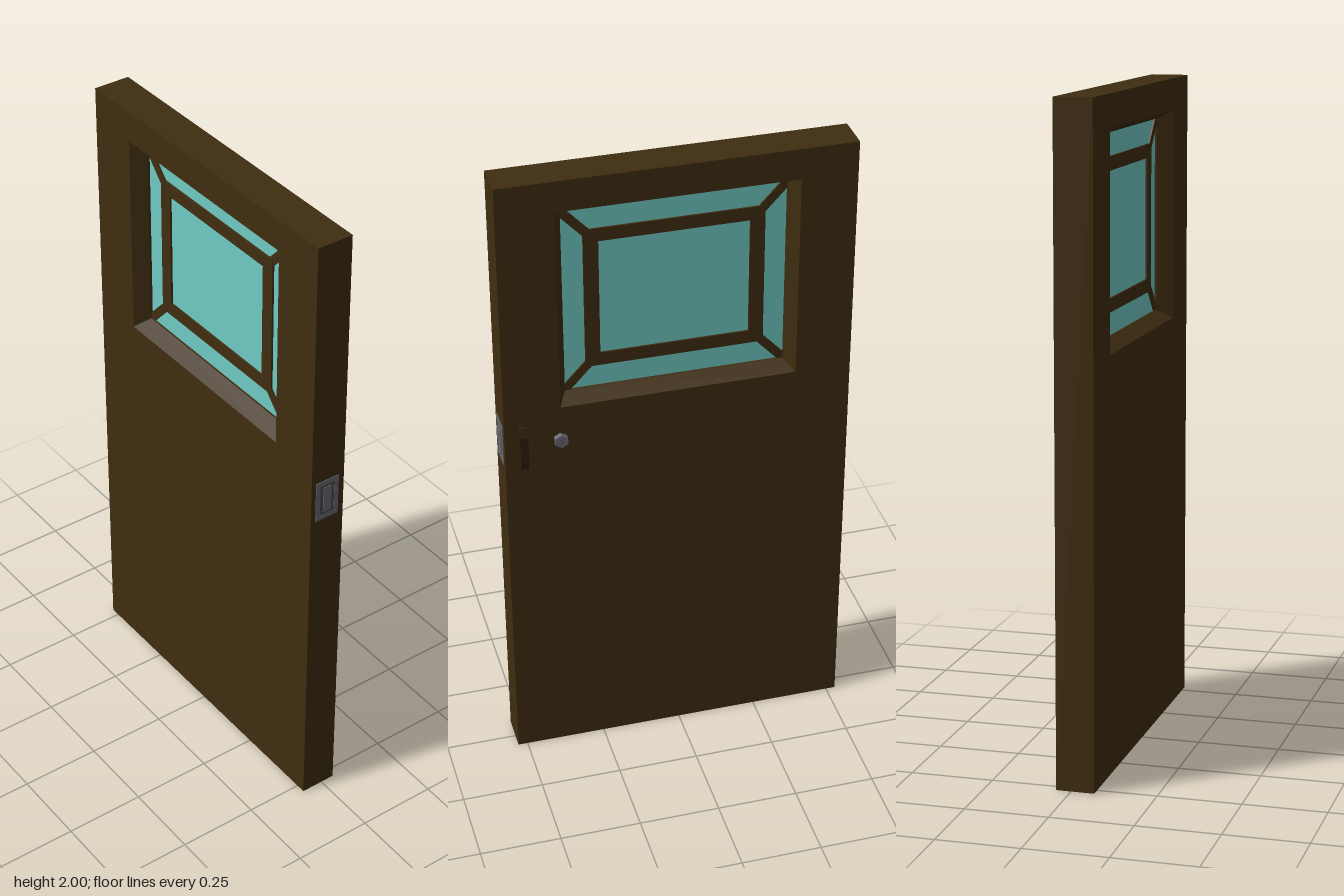
import * as THREE from 'three';

const mat = (color) => new THREE.MeshStandardMaterial({ color });
const wood = mat(0x3f2d10);
const darkWood = mat(0x2e200b);
const glass = mat(0x70cbc5);
const steel = mat(0x686b70);
const darkSteel = mat(0x4a4c50);

const BACK = -0.07, FACE = 0.045, HALF_Z = 0.53, HEIGHT = 2;
const MID = (BACK + FACE) / 2;
const WIN_Y = 1.58;                       // window centre height
const OPEN = [0.36, 0.3235];              // half sizes (z, y) of the opening at the door faces
const INNER = [0.334, 0.2975];            // half sizes at the glass
const BAR = 0.02;                         // thickness of the glazing bars

function add(parent, name, geometry, material, x = 0, y = 0, z = 0) {
  const mesh = new THREE.Mesh(geometry, material);
  mesh.name = name;
  mesh.position.set(x, y, z);
  parent.add(mesh);
  return mesh;
}

const box = (x, y, z) => new THREE.BoxGeometry(x, y, z);

function rect(Type, hw, hh, cy = 0) {
  return new Type().setFromPoints([[-hw, cy - hh], [hw, cy - hh], [hw, cy + hh], [-hw, cy + hh]]
    .map(([u, v]) => new THREE.Vector2(u, v))).closePath();
}

// Flat plate with a rectangular hole; its thickness runs along x, starting at x = 0
function framePlate(outer, inner, depth, outerY = 0) {
  const shape = rect(THREE.Shape, outer[0], outer[1], outerY);
  shape.holes.push(rect(THREE.Path, inner[0], inner[1]));
  return new THREE.ExtrudeGeometry(shape, { depth, bevelEnabled: false }).rotateY(Math.PI / 2);
}

// Inward-facing mitred reveal through rectangular sections [x, halfZ, halfY]
function revealGeometry(sections) {
  const corners = [[-1, -1], [1, -1], [1, 1], [-1, 1]];
  const point = (s, k) => [s[0], corners[k % 4][1] * s[2], corners[k % 4][0] * s[1]];
  const pos = [];
  for (let i = 0; i < sections.length - 1; i++) {
    for (let k = 0; k < 4; k++) {
      const a = point(sections[i], k), b = point(sections[i], k + 1);
      const c = point(sections[i + 1], k + 1), d = point(sections[i + 1], k);
      pos.push(...a, ...d, ...c, ...a, ...c, ...b);
    }
  }
  const geometry = new THREE.BufferGeometry();
  geometry.setAttribute('position', new THREE.Float32BufferAttribute(pos, 3));
  geometry.computeVertexNormals();
  return geometry;
}

function createWindow() {
  const group = new THREE.Group();
  group.name = 'window';
  group.position.set(MID, WIN_Y, 0);
  const half = (FACE - BACK) / 2;

  // Sloping moulding on both sides of the glass
  add(group, 'windowMoulding', revealGeometry([
    [half, ...OPEN], [BAR / 2, ...INNER], [-BAR / 2, ...INNER], [-half, ...OPEN],
  ]), wood);
  add(group, 'glassPane', box(0.008, INNER[1] * 2, INNER[0] * 2), glass);

  // Rectangular glazing bar and its four corner braces
  const barOuter = [0.27, 0.2275], barInner = [0.225, 0.186];
  add(group, 'glazingBar', framePlate(barOuter, barInner, BAR), wood, -BAR / 2);
  const dz = INNER[0] - barOuter[0] + 0.02, dy = INNER[1] - barOuter[1] + 0.02;
  for (const sz of [-1, 1]) {
    for (const sy of [-1, 1]) {
      const brace = add(group, 'cornerBrace', box(BAR * 0.95, 0.027, Math.hypot(dz, dy)), wood,
        0, sy * (INNER[1] + barOuter[1]) / 2, sz * (INNER[0] + barOuter[0]) / 2);
      brace.rotation.x = -sz * sy * Math.atan2(dy, dz);
    }
  }
  return group;
}

// Bent pull bar with chamfered corners
function createHandle() {
  const points = [
    [0, 0.075], [0.011, 0.072], [0.023, 0.045], [0.023, -0.045], [0.011, -0.072], [0, -0.075],
    [0, -0.061], [0.007, -0.059], [0.015, -0.04], [0.015, 0.04], [0.007, 0.059], [0, 0.061],
  ].map(([x, y]) => new THREE.Vector2(x, y));
  const geometry = new THREE.ExtrudeGeometry(new THREE.Shape(points), { depth: 0.025, bevelEnabled: false });
  const group = new THREE.Group();
  group.name = 'handle';
  group.position.set(FACE, 1.138, 0.463);
  add(group, 'pullBar', geometry, darkWood);
  for (const s of [-1, 1]) add(group, 'handleFoot', box(0.005, 0.026, 0.025), darkWood, 0.0025, s * 0.063, 0.0125);
  return group;
}

// Hexagonal key cylinder
function createKeyLock() {
  const group = new THREE.Group();
  group.name = 'keyLock';
  group.position.set(FACE, 1.147, 0.362);
  const barrel = new THREE.CylinderGeometry(0.022, 0.022, 0.017, 6).toNonIndexed();
  barrel.computeVertexNormals();
  barrel.rotateY(Math.PI / 2).rotateZ(-Math.PI / 2);
  add(group, 'lockBarrel', barrel, steel, 0.0085);
  add(group, 'keySlot', box(0.001, 0.016, 0.004), darkSteel, 0.0172);
  return group;
}

// Strike plate and latch on the door edge
function createLatch() {
  const group = new THREE.Group();
  group.name = 'latch';
  group.position.set(-0.0145, 1.138, HALF_Z);
  const plate = framePlate([0.04, 0.068], [0.025, 0.053], 0.002).rotateY(-Math.PI / 2);
  add(group, 'latchPlate', plate, steel);
  add(group, 'latchRecess', box(0.05, 0.106, 0.001), darkSteel, 0, 0, 0.0005);
  add(group, 'latchBolt', box(0.028, 0.088, 0.003), steel, 0, 0, 0.0015);
  return group;
}

export function createModel() {
  const model = new THREE.Group();
  model.name = 'door';
  const slab = framePlate([HALF_Z, HEIGHT / 2], OPEN, FACE - BACK, HEIGHT / 2 - WIN_Y);
  add(model, 'doorSlab', slab, wood, BACK, WIN_Y, 0);
  model.add(createWindow(), createHandle(), createKeyLock(), createLatch());
  return model;
}
